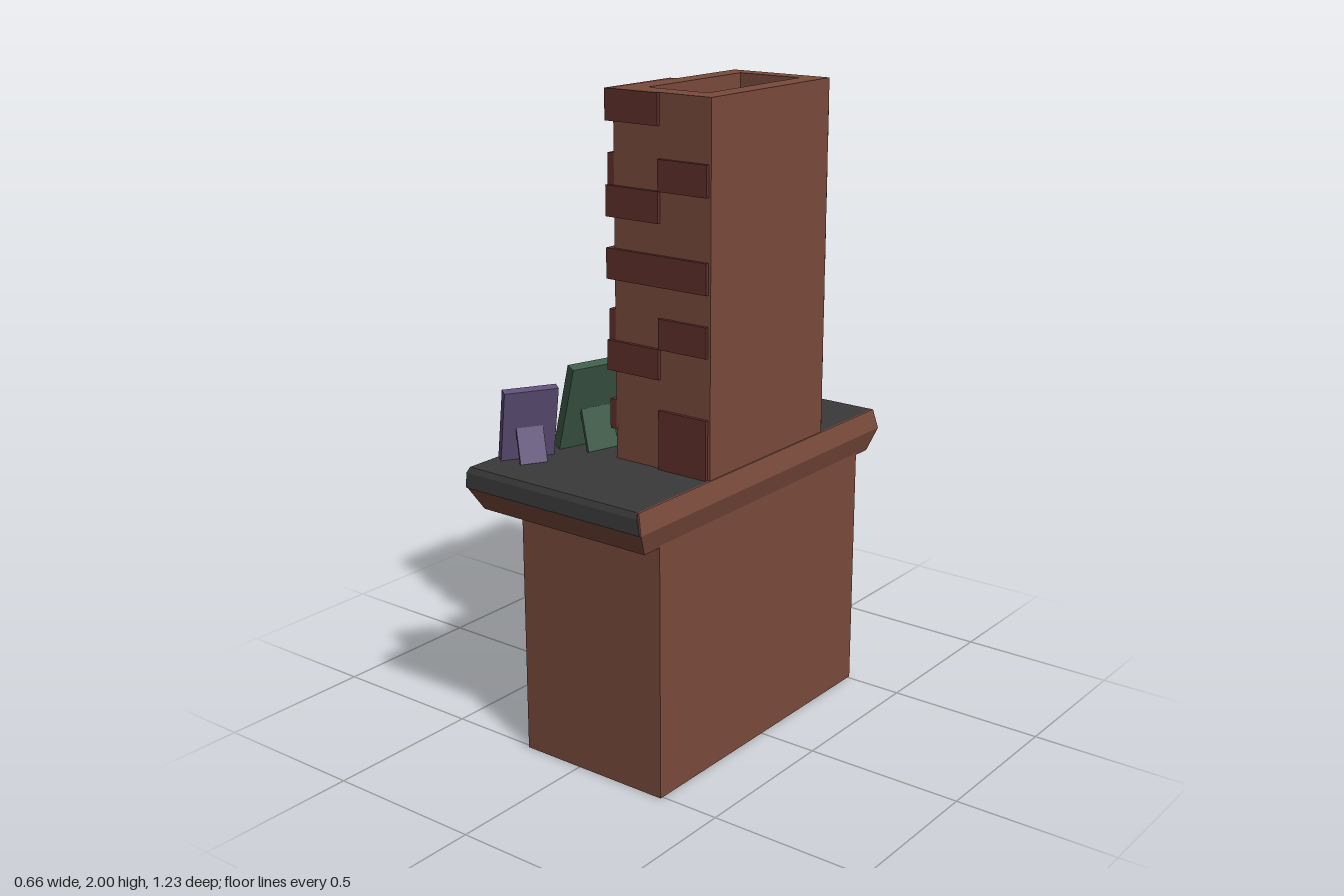
import * as THREE from 'three';
import { ConvexGeometry } from 'three/addons/geometries/ConvexGeometry.js';

const mat = (color) => new THREE.MeshStandardMaterial({ color, flatShading: true });
const BROWN = mat(0x7a4b3c), BRICK = mat(0x5f302c), DARK = mat(0x3a3a3a);
const COPPER = mat(0xc4835a), MAT_PURPLE = mat(0x4f4468);

function add(parent, name, geometry, material) {
  const mesh = new THREE.Mesh(geometry, material);
  mesh.name = name;
  parent.add(mesh);
  return mesh;
}

// Box given by its limits on each axis
function box(parent, name, material, [x0, x1], [y0, y1], [z0, z1]) {
  const mesh = add(parent, name, new THREE.BoxGeometry(x1 - x0, y1 - y0, z1 - z0), material);
  mesh.position.set((x0 + x1) / 2, (y0 + y1) / 2, (z0 + z1) / 2);
  return mesh;
}

// Rectangular ring extruded along z; each rectangle is [x0, x1, y0, y1]
function ring(outer, inner, depth) {
  const trace = (path, [a, b, c, d]) =>
    path.moveTo(a, c).lineTo(b, c).lineTo(b, d).lineTo(a, d).closePath();
  const shape = trace(new THREE.Shape(), outer);
  shape.holes.push(trace(new THREE.Path(), inner));
  return new THREE.ExtrudeGeometry(shape, { depth, bevelEnabled: false });
}

// Slab whose lower and upper rectangles differ; each is [y, x0, x1, half depth]
function taperedSlab(...levels) {
  const points = [];
  for (const [y, x0, x1, z] of levels)
    for (const x of [x0, x1]) for (const s of [-z, z]) points.push(new THREE.Vector3(x, y, s));
  return new ConvexGeometry(points);
}

function buildHearth(parent) {
  const hearth = new THREE.Group();
  hearth.name = 'hearth';
  parent.add(hearth);
  const open = [-0.41, 0.41, 0.07, 0.7];
  // Surround with the fire opening facing -x, closed by a back wall
  const surround = add(hearth, 'surround',
    ring([-0.51, 0.51, 0, 0.79], open, 0.43).rotateY(Math.PI / 2), BROWN);
  surround.position.x = -0.205;
  box(hearth, 'backWall', BROWN, [0.225, 0.31], [0, 0.79], [-0.51, 0.51]);
  // Dark lining of the firebox
  const lining = add(hearth, 'fireboxLining',
    ring(open, [-0.404, 0.404, 0.076, 0.694], 0.275).rotateY(Math.PI / 2), DARK);
  lining.position.x = -0.06;
  box(hearth, 'fireboxBack', DARK, [0.21, 0.224], [0.07, 0.7], [-0.41, 0.41]);
}

function buildMantel(parent) {
  const mantel = new THREE.Group();
  mantel.name = 'mantel';
  parent.add(mantel);
  add(mantel, 'mantelMoulding',
    taperedSlab([0.78, -0.295, 0.308, 0.575], [0.85, -0.325, 0.327, 0.613]), BROWN);
  add(mantel, 'mantelTop',
    taperedSlab([0.85, -0.33, 0.322, 0.614], [0.895, -0.33, 0.31, 0.61], [0.912, -0.322, 0.306, 0.602]), DARK);
  add(mantel, 'mantelBackEdge',
    taperedSlab([0.85, 0.315, 0.327, 0.613], [0.912, 0.3, 0.312, 0.603]), BROWN);
}

function buildChimney(parent) {
  const chimney = new THREE.Group();
  chimney.name = 'chimney';
  parent.add(chimney);
  const base = 0.91, rows = 12, rowHeight = 1.09 / rows;
  const stack = add(chimney, 'chimneyStack',
    ring([-0.035, 0.308, -0.275, 0.303], [0.03, 0.24, -0.2, 0.245], 1.09).rotateX(-Math.PI / 2), BROWN);
  stack.position.y = base;

  // Raised bricks, rows counted from the top
  const near = [-0.058, 0.13], far = [0.13, 0.3];
  const left = [0.265, 0.286], right = [-0.316, -0.295], face = [-0.058, -0.025];
  const bricks = [
    [[0, 3, 5, 8], near, left],
    [[2, 5, 7, 10, 11], far, left],
    [[2, 4, 6, 8, 10], near, right],
    [[1, 3, 5, 7, 9, 11], far, right],
    [[0, 3, 5, 8], face, [-0.015, 0.286]],
    [[2, 7, 10], face, [0.13, 0.275]],
    [[2, 4, 6, 8, 10], face, [-0.316, -0.015]],
  ];
  for (const [list, x, z] of bricks)
    for (const row of list) {
      const top = 2 - row * rowHeight;
      box(chimney, 'raisedBrick', BRICK, x, [top - rowHeight, top], z);
    }
}

// Candle on a dished saucer
function buildCandle(parent, x, z, radius, height) {
  const candle = new THREE.Group();
  candle.name = 'candle';
  candle.position.set(x, 0.912, z);
  parent.add(candle);
  const profile = [[0, 0], [0.7, 0], [1, 0.016], [0.97, 0.022], [0.7, 0.008], [0, 0.008]]
    .map(([r, y]) => new THREE.Vector2(r * radius, y));
  add(candle, 'saucer', new THREE.LatheGeometry(profile, 20), COPPER);
  const wax = [[0, 0.006], [0.64, 0.006], [0.64, height - 0.008], [0.57, height], [0.5, height], [0.4, height - 0.008], [0, height - 0.01]]
    .map(([r, y]) => new THREE.Vector2(r * radius, y));
  add(candle, 'wax', new THREE.LatheGeometry(wax, 16), BROWN);
  const wick = add(candle, 'wick', new THREE.CylinderGeometry(0.003, 0.003, 0.025, 6), DARK);
  wick.position.y = height;
}

// Leaning picture frame; its face looks along (nx, nz)
function buildFrame(parent, { x, z, nx, nz, w, h, t, tilt, color, art }) {
  const frame = new THREE.Group();
  frame.name = 'pictureFrame';
  frame.position.set(x, 0.912, z);
  frame.rotation.y = Math.atan2(nx, nz);
  parent.add(frame);
  const material = mat(color);

  const panel = new THREE.Group();
  panel.name = 'leaningPanel';
  panel.position.y = t * Math.sin(tilt);
  panel.rotation.x = -tilt;
  frame.add(panel);
  const b = w * 0.13;
  const border = add(panel, 'border',
    ring([-w / 2, w / 2, 0, h], [-w / 2 + b, w / 2 - b, b, h - b], t), material);
  border.position.z = -t;
  box(panel, 'backing', material, [-w / 2 + b, w / 2 - b], [b, h - b], [-t, -t * 0.6]);
  box(panel, 'pictureMount', MAT_PURPLE, [-w / 2 + b, w / 2 - b], [b, h - b], [-t * 0.6, -t * 0.45]);
  box(panel, 'picture', mat(art), [-w * 0.19, w * 0.19], [h * 0.3, h * 0.7], [-t * 0.45, -t * 0.38]);

  // Rear prop
  const top = h * 0.45, topZ = -(t + top * Math.tan(tilt)) + 0.004, splay = 0.035;
  const prop = add(frame, 'prop', new THREE.BoxGeometry(w * 0.5, Math.hypot(top, splay), 0.01), material);
  prop.position.set(0, top / 2, topZ - splay / 2);
  prop.rotation.x = Math.atan2(splay, top);
}

export function createModel() {
  const model = new THREE.Group();
  model.name = 'fireplace';
  buildHearth(model);
  buildMantel(model);
  buildChimney(model);
  buildCandle(model, -0.16, -0.19, 0.06, 0.1);
  buildCandle(model, -0.18, -0.02, 0.068, 0.14);
  const frames = [
    { x: -0.22, z: 0.21, nx: -0.96, nz: -0.28, w: 0.215, h: 0.28, t: 0.032, tilt: 0.31, color: 0x3f5c49, art: 0xb97c4f },
    { x: -0.268, z: 0.423, nx: -0.86, nz: -0.5, w: 0.165, h: 0.228, t: 0.027, tilt: 0.25, color: 0x5f5078, art: 0xa8688c },
    { x: -0.25, z: -0.38, nx: -0.92, nz: 0.4, w: 0.155, h: 0.22, t: 0.027, tilt: 0.28, color: 0xb5a58a, art: 0x4a2a22 },
  ];
  for (const f of frames) buildFrame(model, f);
  return model;
}
